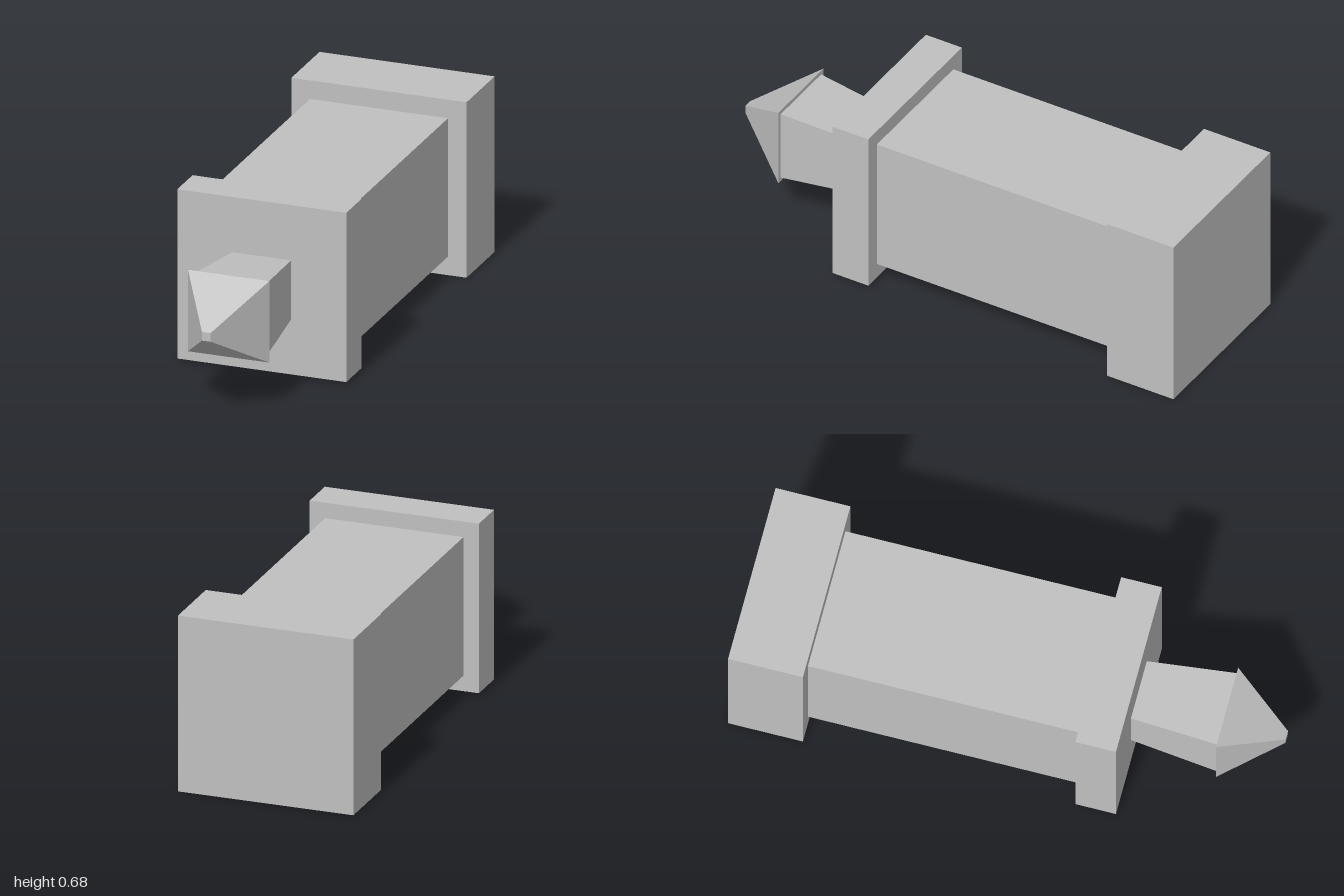
import * as THREE from 'three';

const CENTRE_Y = 0.34;

// Square prism along z, from half-width h0 at z0 to half-width h1 at z1
function squareSection(name, z0, z1, h0, h1, material) {
  const s = Math.SQRT2;
  const indexed = new THREE.CylinderGeometry(h1 * s, h0 * s, z1 - z0, 4);
  indexed.rotateY(Math.PI / 4).rotateX(Math.PI / 2);
  const geometry = indexed.toNonIndexed();
  geometry.computeVertexNormals(); // crisp flat faces
  const mesh = new THREE.Mesh(geometry, material);
  mesh.name = name;
  mesh.position.set(0, CENTRE_Y, (z0 + z1) / 2);
  return mesh;
}

export function createModel() {
  const model = new THREE.Group();
  model.name = 'squareBolt';
  const grey = new THREE.MeshStandardMaterial({ color: 0xc0c0c0 });
  grey.name = 'grey';

  // name, back z, front z, back half-width, front half-width
  const sections = [
    ['rearCap', -1, -0.72, 0.34, 0.34],
    ['body', -0.72, 0.295, 0.268, 0.268],
    ['frontCollar', 0.295, 0.447, 0.328, 0.328],
    ['shaft', 0.447, 0.777, 0.114, 0.142], // flares toward the tip
    ['tip', 0.777, 1, 0.158, 0.017],       // blunt pyramid
  ];
  for (const section of sections) model.add(squareSection(...section, grey));
  return model;
}
